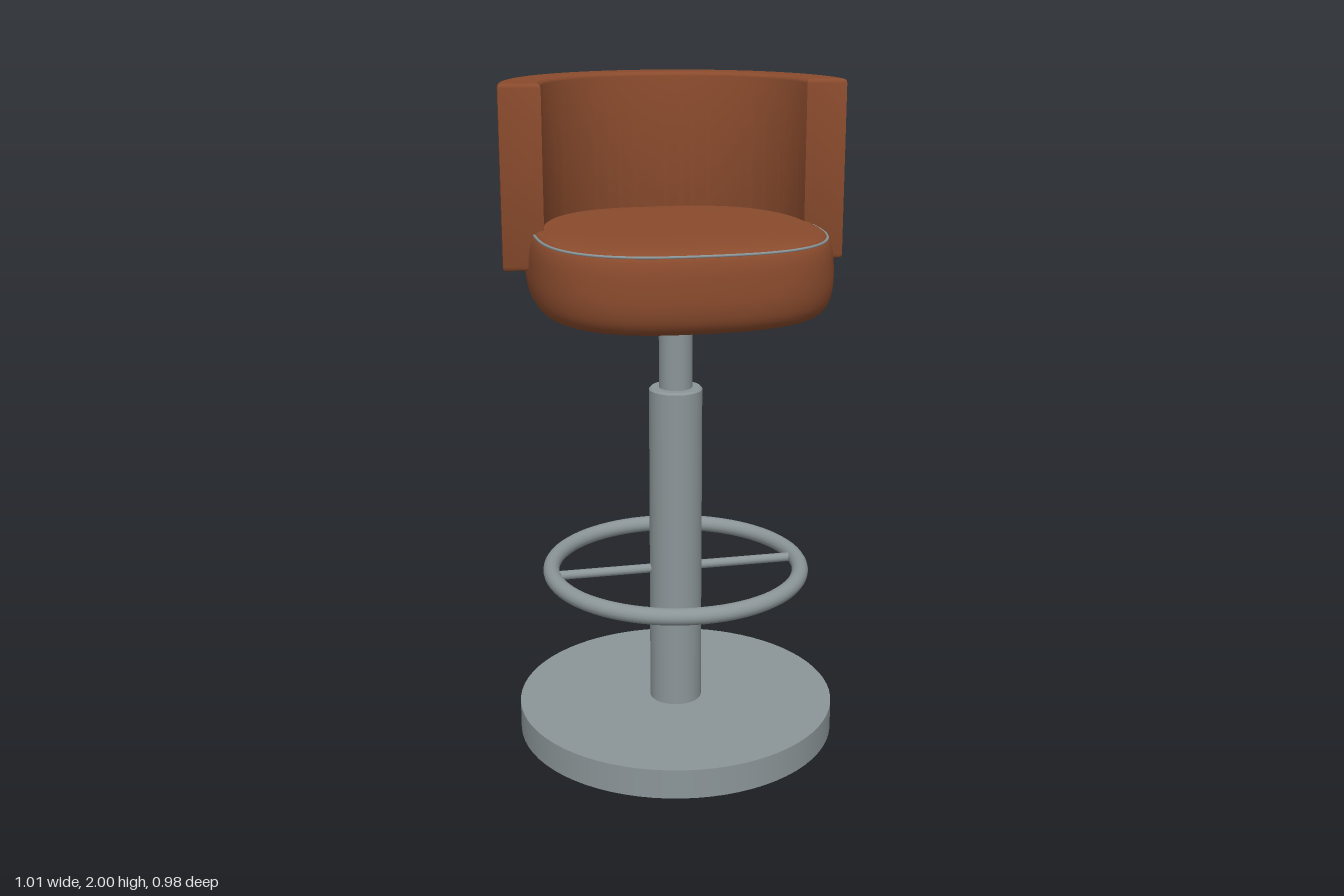
import * as THREE from 'three';
import { mergeVertices, toCreasedNormals } from 'three/addons/utils/BufferGeometryUtils.js';

const mat = (name, color) => {
  const m = new THREE.MeshStandardMaterial({ color });
  m.name = name;
  return m;
};

// Rounded-square seat outline, s = 1 at the widest level
const seatPoint = (angle, s) => {
  const c = Math.cos(angle), k = Math.sin(angle), n = 2.75;
  const r = s / Math.pow(Math.abs(c / 0.432) ** n + Math.abs(k / 0.424) ** n, 1 / n);
  return [r * c, 0.02 + r * k];
};

// Cushion: a turned profile whose rings are reshaped to the seat outline
function seatGeometry() {
  const profile = [
    [0, 1.355], [0.4, 1.354], [0.75, 1.352], [0.9, 1.362], [0.97, 1.39], [1, 1.44],
    [1, 1.5], [0.985, 1.55], [0.95, 1.58], [0.87, 1.592], [0.6, 1.6], [0, 1.604],
  ].map(([x, y]) => new THREE.Vector2(x, y));
  const points = new THREE.SplineCurve(profile).getPoints(44);
  points.forEach((p) => { p.x = Math.max(0, p.x); });
  let geo = new THREE.LatheGeometry(points, 96);
  const pos = geo.attributes.position;
  for (let i = 0; i < pos.count; i++) {
    const x = pos.getX(i), z = pos.getZ(i);
    const [sx, sz] = seatPoint(Math.atan2(z, x), Math.hypot(x, z));
    pos.setX(i, sx);
    pos.setZ(i, sz);
  }
  geo.deleteAttribute('uv');
  geo.deleteAttribute('normal');
  geo = mergeVertices(geo, 1e-5);
  geo.computeVertexNormals();
  return geo;
}

// Wraparound back: a thick arc extruded upward with soft edges
function backGeometry() {
  const bevel = 0.012, outer = 0.493, inner = 0.397, offset = 0.023;
  const a = Math.asin(offset / outer), b = Math.asin(offset / inner);
  const shape = new THREE.Shape();
  shape.absarc(0, -offset, outer, a, Math.PI - a, false);
  shape.absarc(0, -offset, inner, Math.PI - b, b, true);
  shape.closePath();
  const geo = new THREE.ExtrudeGeometry(shape, {
    depth: 0.525 - 2 * bevel, curveSegments: 48,
    bevelSize: bevel, bevelThickness: bevel, bevelSegments: 3,
  });
  geo.rotateX(-Math.PI / 2).translate(0, 1.475 + bevel, 0);
  return toCreasedNormals(geo, 0.75);
}

export function createModel() {
  const model = new THREE.Group();
  const leather = mat('brown leather', 0x8a4b2d);
  const metal = mat('grey metal', 0x8b9598);
  const rubber = mat('black rubber', 0x131313);

  const add = (name, geo, material) => {
    const mesh = new THREE.Mesh(geo, material);
    mesh.name = name;
    model.add(mesh);
    return mesh;
  };
  // Upright cylinder between two heights
  const post = (name, r, y0, y1, material, sides = 48) =>
    add(name, new THREE.CylinderGeometry(r, r, y1 - y0, sides).translate(0, (y0 + y1) / 2, 0), material);
  // Round rod between two points
  const rod = (name, from, to, r) =>
    add(name, new THREE.TubeGeometry(new THREE.LineCurve3(new THREE.Vector3(...from), new THREE.Vector3(...to)), 1, r, 12), metal);

  // Base and column
  post('floorPad', 0.48, 0, 0.005, rubber, 72);
  post('base', 0.49, 0.004, 0.095, metal, 72);
  const c = 0.006;
  const column = [[0.08, 0.09], [0.08, 1.105 - c], [0.08, 1.105 - c], [0.08 - c, 1.105], [0.08 - c, 1.105], [0, 1.105]];
  add('column', new THREE.LatheGeometry(column.map(([x, y]) => new THREE.Vector2(x, y)), 48), metal);
  post('piston', 0.05, 1.1, 1.36, metal, 32);

  // Footrest ring with two spokes
  const ring = new THREE.TorusGeometry(0.384, 0.025, 16, 80).rotateX(Math.PI / 2).translate(0, 0.528, 0);
  add('footrestRing', ring, metal);
  for (const s of [1, -1]) {
    rod(s > 0 ? 'leftSpoke' : 'rightSpoke', [s * 0.07, 0.528, 0], [s * 0.38, 0.528, 0], 0.014);
  }

  // Height lever under the seat
  rod('heightLever', [0.03, 1.352, 0.01], [0.37, 1.352, 0.11], 0.008);
  const tip = new THREE.SphereGeometry(0.008, 12, 8).translate(0.37, 1.352, 0.11);
  add('leverTip', tip, metal);

  // Seat with thin piping around its upper edge
  add('seat', seatGeometry(), leather);
  const loop = [];
  for (let i = 0; i < 64; i++) {
    const [x, z] = seatPoint((i / 64) * Math.PI * 2, 0.957);
    loop.push(new THREE.Vector3(x, 1.577, z));
  }
  add('seatPiping', new THREE.TubeGeometry(new THREE.CatmullRomCurve3(loop, true), 128, 0.004, 8, true), metal);

  add('backrest', backGeometry(), leather);
  return model;
}
